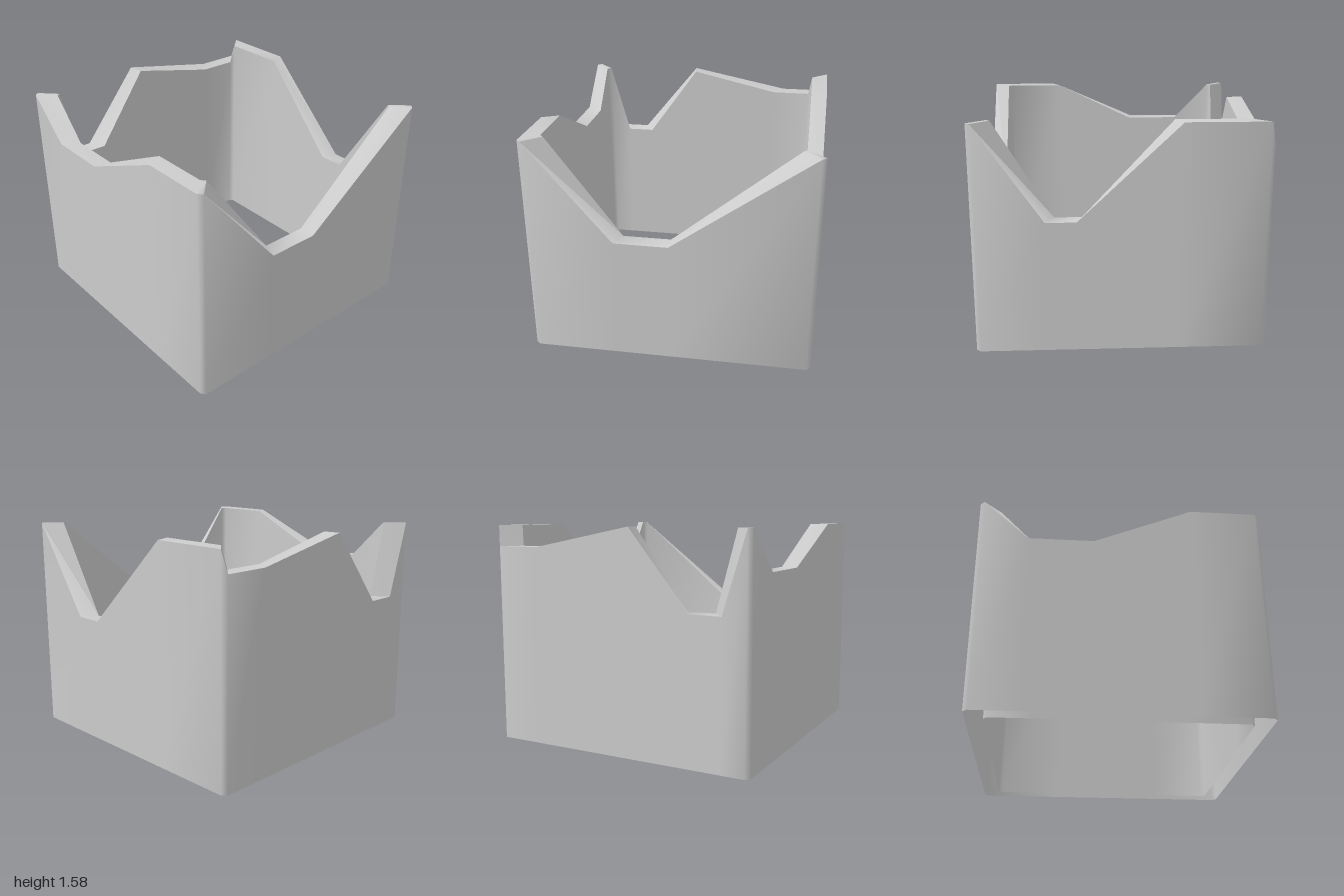
import * as THREE from 'three';
import { toCreasedNormals } from 'three/addons/utils/BufferGeometryUtils.js';

const INNER = 0.88; // inner wall is the outer outline scaled toward the centre
const C = 0.97;     // where the small corner chamfers begin

// Top edge of each wall as [position along wall, height], anticlockwise from above
const front = [[-C, 1.58], [-0.65, 1.29], [-0.19, 1.29], [0.5, 1.58], [C, 1.58]];
const left = [[C, 1.58], [0.38, 0.885], [0, 0.885], [-C, 1.58]];
const back = [[C, 1.58], [0.51, 0.92], [0.3, 0.92], [-0.4, 1.58], [-C, 1.58]];
const right = [[-C, 1.43], [-0.64, 1.43], [0.12, 1.58], [0.57, 1.03], [0.8, 1.03], [C, 1.58]];

// Closed strip of quads between two loops of points
function strip(lower, upper) {
  const n = lower.length;
  const points = [...lower, ...upper];
  const index = [];
  for (let i = 0; i < n; i++) {
    const j = (i + 1) % n;
    index.push(i, j, n + j, i, n + j, n + i);
  }
  const geometry = new THREE.BufferGeometry().setFromPoints(points);
  geometry.setIndex(index);
  return toCreasedNormals(geometry, THREE.MathUtils.degToRad(60));
}

export function createModel() {
  const group = new THREE.Group();
  group.name = 'notchedBox';
  const material = new THREE.MeshStandardMaterial({ color: 0xcccccc, side: THREE.DoubleSide });

  const outerTop = [
    ...front.map(([x, y]) => new THREE.Vector3(x, y, 1)),
    ...left.map(([z, y]) => new THREE.Vector3(1, y, z)),
    ...back.map(([x, y]) => new THREE.Vector3(x, y, -1)),
    ...right.map(([z, y]) => new THREE.Vector3(-1, y, z)),
  ];
  const scaled = (loop, sy, s) => loop.map((p) => new THREE.Vector3(p.x * s, p.y * sy, p.z * s));
  const outerBase = scaled(outerTop, 0, 1);
  const innerTop = scaled(outerTop, 1, INNER);
  const innerBase = scaled(outerTop, 0, INNER);

  const add = (name, lower, upper) => {
    const mesh = new THREE.Mesh(strip(lower, upper), material);
    mesh.name = name;
    group.add(mesh);
  };
  // The underside stays open between the two walls
  add('outerWall', outerBase, outerTop);
  add('topRim', outerTop, innerTop);
  add('innerWall', innerTop, innerBase);
  return group;
}
